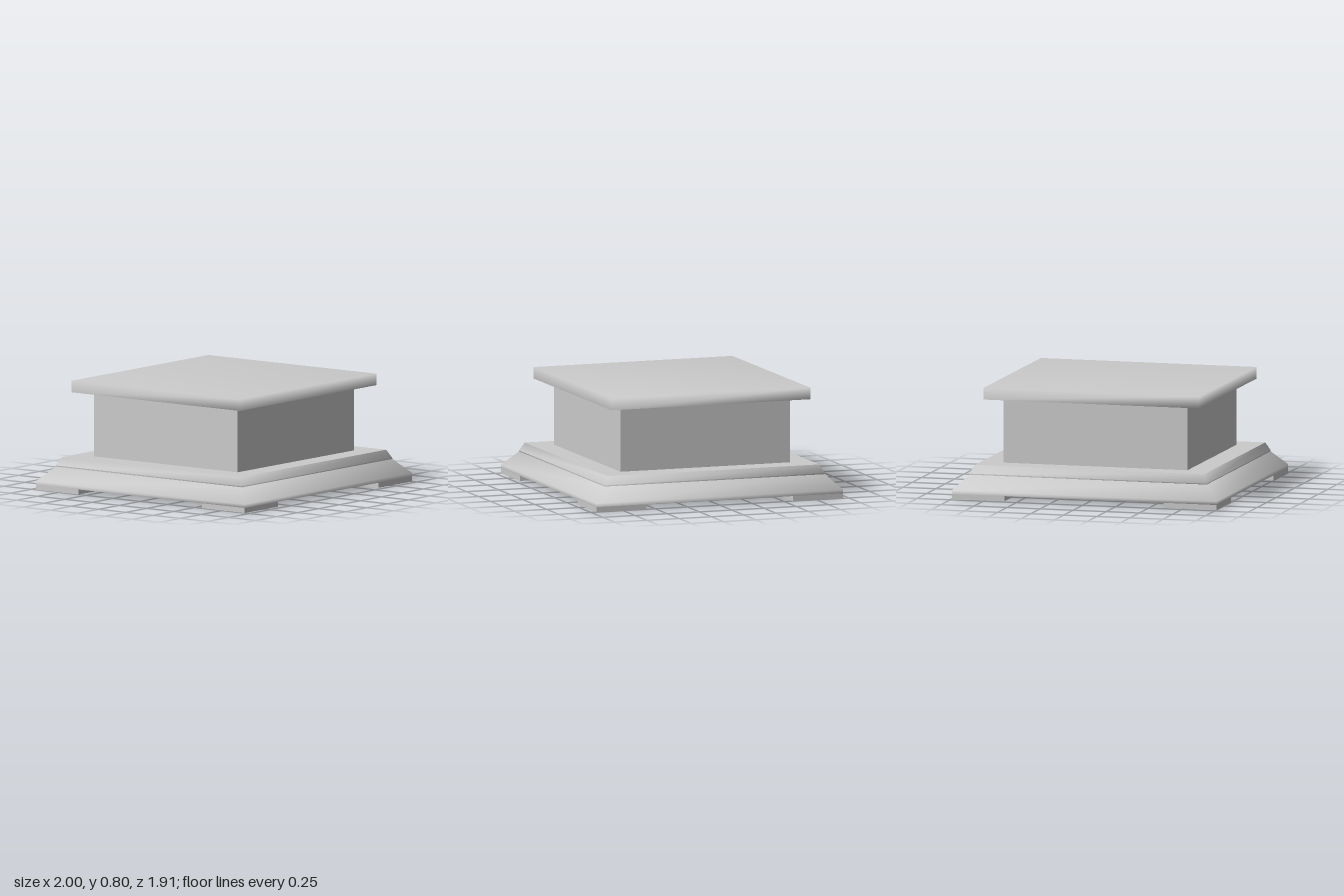
import * as THREE from 'three';

const material = new THREE.MeshStandardMaterial({ color: 0xcccccc });
const INSET = 0.043; // depth is this much less than width, per half

// Stack of rectangular rings [half width, y]; corners are shared so shading blends across them.
function rings(profile, depthOf = (w) => w - INSET, closeTop = false) {
  const pos = [], idx = [];
  for (const [w, y] of profile) {
    const d = depthOf(w);
    pos.push(-w, y, d, w, y, d, w, y, -d, -w, y, -d);
  }
  for (let r = 0; r < profile.length - 1; r++) {
    for (let i = 0; i < 4; i++) {
      const a = r * 4 + i, b = r * 4 + (i + 1) % 4;
      idx.push(a, b, b + 4, a, b + 4, a + 4);
    }
  }
  if (closeTop) {
    const t = (profile.length - 1) * 4;
    idx.push(t, t + 1, t + 2, t, t + 2, t + 3);
  }
  const g = new THREE.BufferGeometry();
  g.setAttribute('position', new THREE.Float32BufferAttribute(pos, 3));
  g.setIndex(idx);
  g.computeVertexNormals();
  return g;
}

// Flat horizontal face, facing up or down
function plate(w, d, y, up) {
  return new THREE.PlaneGeometry(2 * w, 2 * d).rotateX(up ? -Math.PI / 2 : Math.PI / 2).translate(0, y, 0);
}

export function createModel() {
  const model = new THREE.Group();
  model.name = 'pedestal';
  const add = (name, geometry, parent = model) => {
    const mesh = new THREE.Mesh(geometry, material);
    mesh.name = name;
    parent.add(mesh);
    return mesh;
  };

  // Four square feet at the corners
  const feet = new THREE.Group();
  feet.name = 'feet';
  model.add(feet);
  for (const sx of [-1, 1]) {
    for (const sz of [-1, 1]) {
      add('foot', new THREE.BoxGeometry(0.4, 0.037, 0.39), feet).position.set(sx * 0.8, 0.0185, sz * 0.762);
    }
  }

  // Sloping base with a short upright edge
  add('baseSlope', rings([[1, 0.037], [1, 0.063], [0.897, 0.168]]));
  add('baseUnderside', plate(1, 0.957, 0.037, false));

  // Stepped moulding on the base
  add('mouldingSeam', rings([[0.897, 0.168], [0.897, 0.176]]));
  add('moulding', rings([[0.897, 0.176], [0.865, 0.237]]));
  add('mouldingTop', plate(0.865, 0.822, 0.237, true));

  // Square column
  add('column', new THREE.BoxGeometry(1.39, 0.475, 1.314)).position.y = 0.4745;

  // Overhanging cap slab
  add('cap', rings([[0.815, 0.712], [0.815, 0.797]], (w) => w - 0.045, true));
  add('capUnderside', plate(0.815, 0.77, 0.712, false));

  return model;
}
